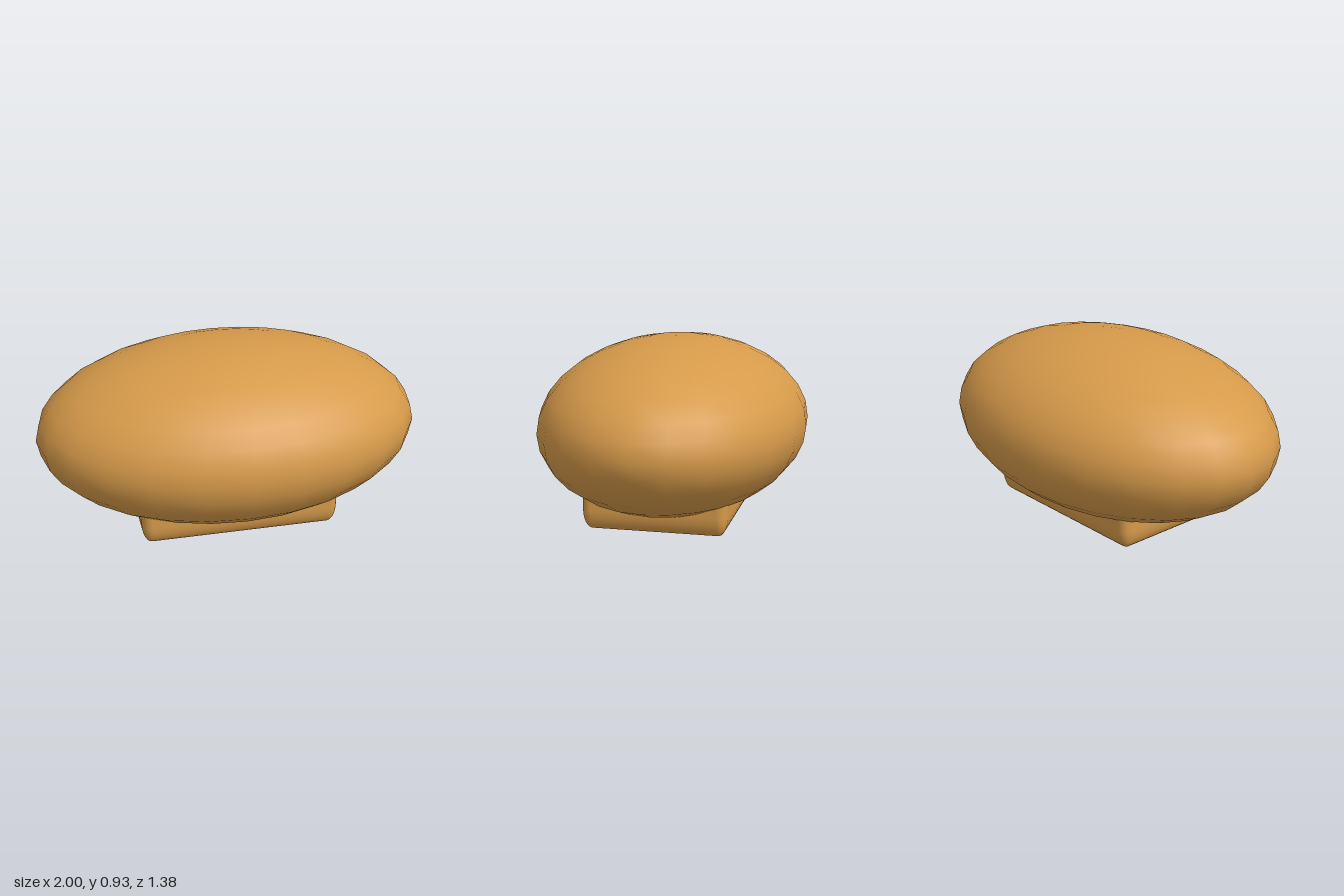
import * as THREE from 'three';
import { RoundedBoxGeometry } from 'three/addons/geometries/RoundedBoxGeometry.js';

export function createModel() {
  const group = new THREE.Group();
  const ochre = new THREE.MeshStandardMaterial({ color: 0xd69a4a });
  ochre.name = 'ochre';

  // Smooth flattened ellipsoid body
  const bodyGeometry = new THREE.SphereGeometry(1, 24, 16);
  bodyGeometry.scale(1, 0.45, 0.69);
  const body = new THREE.Mesh(bodyGeometry, ochre);
  body.name = 'body';
  body.position.y = 0.475;
  group.add(body);

  // Rounded rectangular foot, its upper half sunk into the body
  const footGeometry = new RoundedBoxGeometry(1.03, 0.16, 0.74, 3, 0.05);
  footGeometry.scale(1, 2, 1);
  const foot = new THREE.Mesh(footGeometry, ochre);
  foot.name = 'foot';
  foot.position.y = 0.16;
  group.add(foot);

  return group;
}
